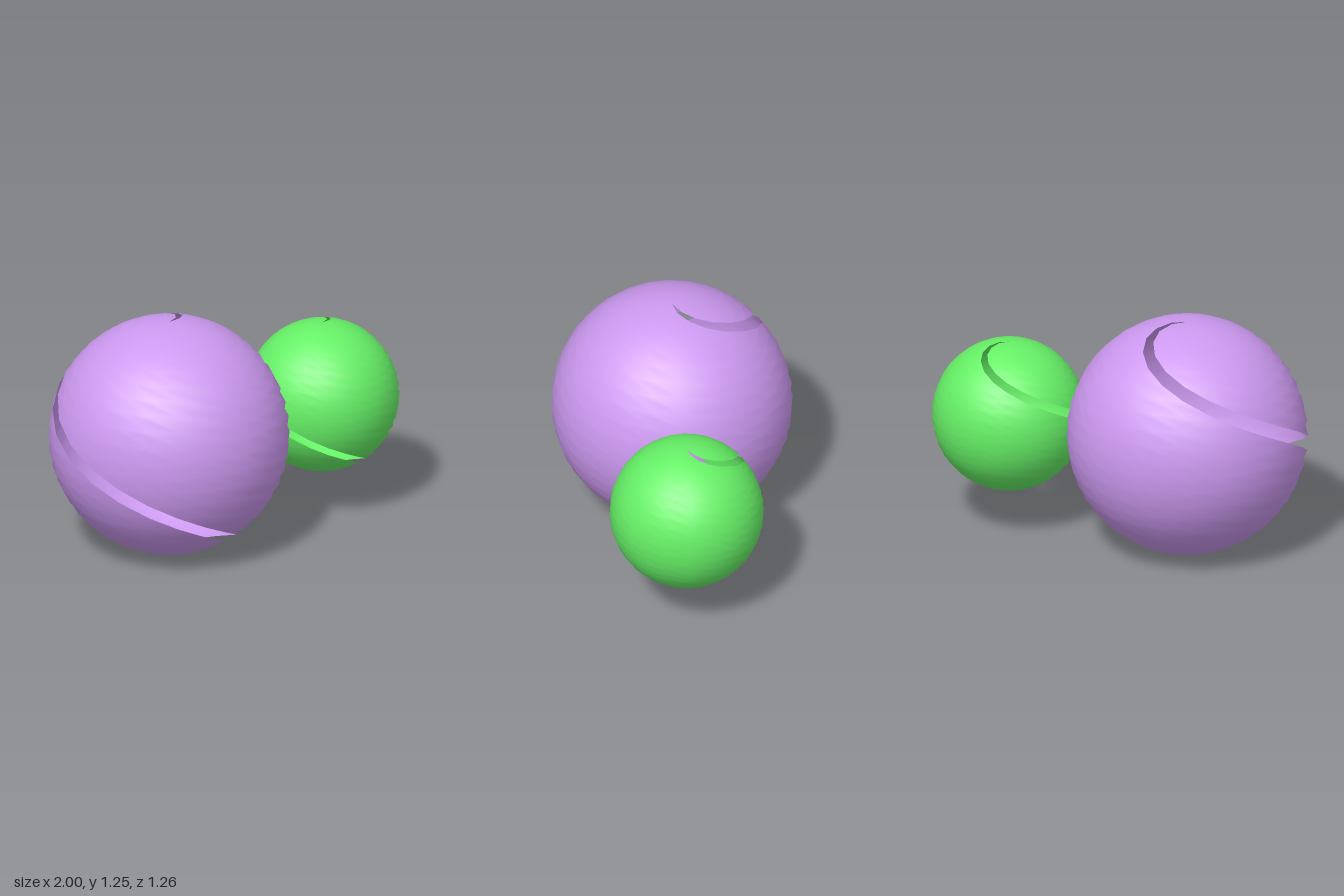
import * as THREE from 'three';

const N = 24; // rows and columns of each ball

// Ball wound as one continuous spiral of skewed quads. One quad is left out
// per turn, which opens a slit from the top pole to the hole at the bottom.
function spiralBallGeometry(radius) {
  const positions = [], normals = [], index = [];
  const dir = new THREE.Vector3();

  // Rings from the top pole down, each with a repeated seam point
  for (let row = 0; row < N; row++) {
    const theta = (row / N) * Math.PI;
    for (let col = 0; col <= N; col++) {
      const phi = (col / N) * Math.PI * 2;
      dir.set(Math.sin(theta) * Math.cos(phi), Math.cos(theta), Math.sin(theta) * Math.sin(phi));
      normals.push(dir.x, dir.y, dir.z);
      positions.push(dir.x * radius, dir.y * radius, dir.z * radius);
    }
  }

  // A stride one shorter than the ring makes every turn shift by one column
  for (let turn = 0; turn < N - 1; turn++) {
    for (let step = 0; step < N - 1; step++) {
      const a = turn * N + step, b = a + 1, c = a + N, d = c + 1;
      index.push(a, b, c, b, d, c);
    }
  }

  const geometry = new THREE.BufferGeometry();
  geometry.setAttribute('position', new THREE.Float32BufferAttribute(positions, 3));
  geometry.setAttribute('normal', new THREE.Float32BufferAttribute(normals, 3));
  geometry.setIndex(index);
  return geometry;
}

function ball(name, radius, x, y, color) {
  const material = new THREE.MeshStandardMaterial({ color, side: THREE.DoubleSide });
  const mesh = new THREE.Mesh(spiralBallGeometry(radius), material);
  mesh.name = name;
  mesh.position.set(x, y, 0);
  return mesh;
}

export function createModel() {
  const group = new THREE.Group();
  group.name = 'twoSpiralBalls';

  // Both centres share one height; the large ball's lowest tip rests on y = 0
  const large = 0.629, small = 0.402;
  const height = large * Math.cos(Math.PI / N);
  group.add(ball('largeBall', large, -1 + large, height, 0xcc99f0));
  group.add(ball('smallBall', small, 1 - small, height, 0x66f066));
  return group;
}
